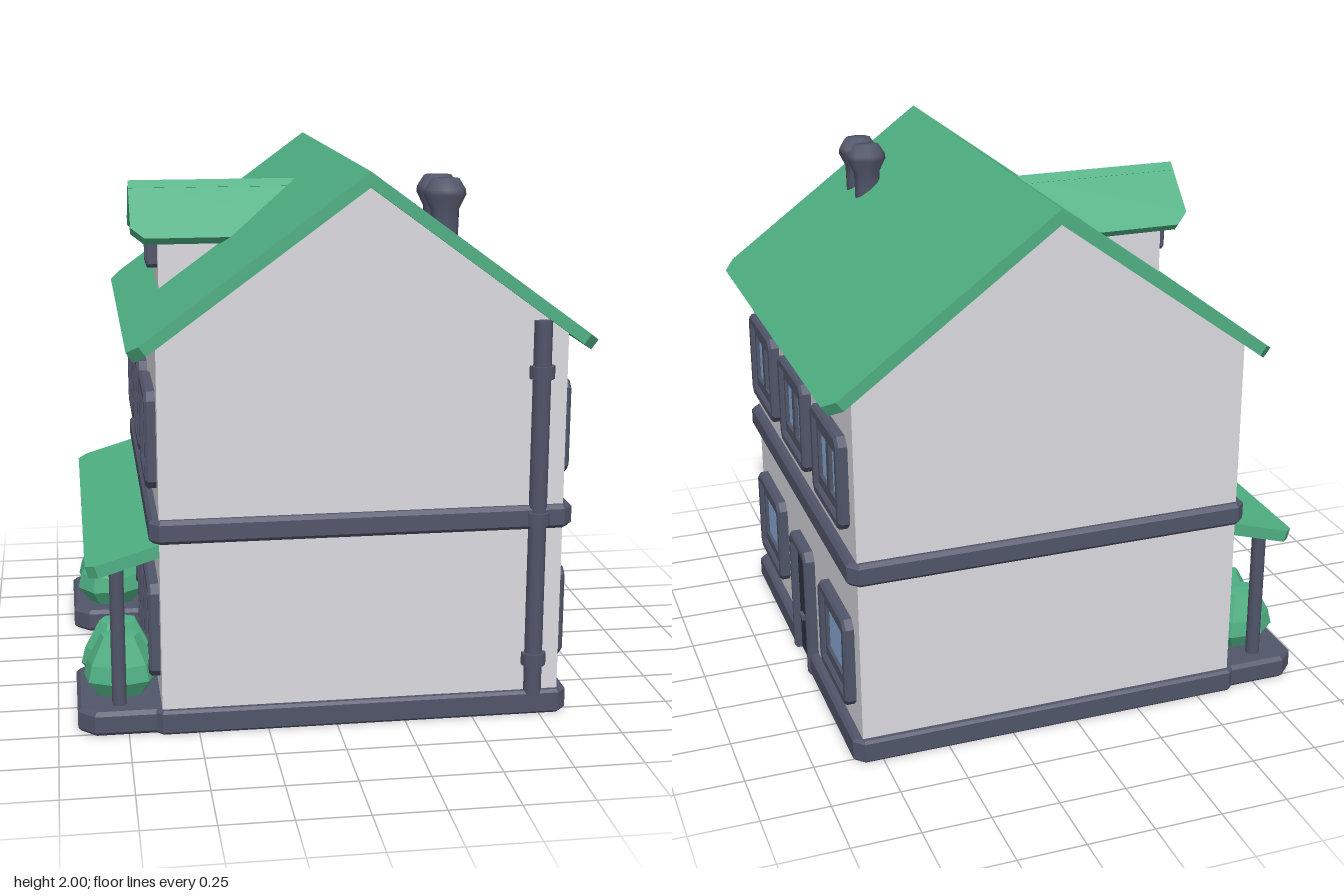
import * as THREE from 'three';

const mat = (name, color) => {
  const m = new THREE.MeshStandardMaterial({ color });
  m.name = name;
  return m;
};

export function createModel() {
  const wallMat = mat('plaster white', 0xd9d9df);
  const roofMat = mat('roof green', 0x4fb083);
  const trimMat = mat('slate trim', 0x505569);
  const doorMat = mat('dark door', 0x30333f);
  const glassMat = mat('window blue', 0x8cabd8);

  const house = new THREE.Group();
  house.name = 'house';
  const CX = 0.095, HALF = 0.725; // centre line and half width of the walls

  const add = (name, geo, material, parent = house) => {
    const m = new THREE.Mesh(geo, material);
    m.name = name;
    parent.add(m);
    return m;
  };
  const poly = pts => new THREE.Shape(pts.map(p => new THREE.Vector2(...p)));
  const octagon = (x0, y0, x1, y1, c) => [
    [x0 + c, y0], [x1 - c, y0], [x1, y0 + c], [x1, y1 - c],
    [x1 - c, y1], [x0 + c, y1], [x0, y1 - c], [x0, y0 + c]];
  const rect = (x0, y0, x1, y1) => [[x0, y0], [x1, y0], [x1, y1], [x0, y1]];
  // Extrusion whose bevel stays inside the given outline and depth
  const extrude = (shape, depth, bevel = 0) => new THREE.ExtrudeGeometry(shape, {
    depth: depth - 2 * bevel, bevelEnabled: bevel > 0, bevelSize: bevel,
    bevelThickness: bevel, bevelOffset: -bevel, bevelSegments: 1,
  }).translate(0, 0, bevel);
  // Floor plan drawn as (x, z), raised from y0 to y1
  const plan = (pts, y0, y1, bevel = 0.014) =>
    extrude(poly(pts), y1 - y0, bevel).rotateX(Math.PI / 2).translate(0, y1, 0);

  // Gabled walls
  const gable = poly([[CX - HALF, 0.02], [CX + HALF, 0.02], [CX + HALF, 1.43], [0.1, 1.955], [CX - HALF, 1.43]]);
  add('walls', extrude(gable, 1.54).translate(0, 0, -0.77), wallMat);

  // Plinth, notched at both doors, and the belt between storeys
  const x0 = -0.665, x1 = 0.855, z = 0.795, c = 0.035, n = 0.1;
  add('plinth', plan([
    [x0 + c, -z], [x1 - c, -z], [x1, -z + c], [x1, -n], [0.815, -n], [0.815, n], [x1, n], [x1, z - c],
    [x1 - c, z], [x0 + c, z], [x0, z - c], [x0, n], [-0.625, n], [-0.625, -n], [x0, -n], [x0, -z + c],
  ], 0, 0.09, 0.01), trimMat);
  add('storeyBand', plan(octagon(x0, -z, x1, z, c), 0.71, 0.797), trimMat);

  // Sloping slab: ridge and eave points, with "across" pointing along the ridge
  const slab = (name, ridge, eave, across, half, thick, cut) => {
    const r = new THREE.Vector3(...ridge), X = new THREE.Vector3(...across);
    const Y = r.clone().sub(new THREE.Vector3(...eave));
    const len = Y.length();
    Y.normalize();
    const Z = X.clone().cross(Y);
    const shape = poly([[-half, 0], [-half, -len + cut], [-half + cut, -len],
      [half - cut, -len], [half, -len + cut], [half, 0]]);
    const geo = extrude(shape, thick).translate(0, 0, -thick);
    geo.applyMatrix4(new THREE.Matrix4().makeBasis(X, Y, Z).setPosition(r));
    return add(name, geo, roofMat);
  };

  // Main roof and porch roof
  slab('mainRoofRight', [0.1, 2, 0], [0.925, 1.395, 0], [0, 0, -1], 0.828, 0.043, 0.05);
  slab('mainRoofLeft', [0.1, 2, 0], [-0.73, 1.395, 0], [0, 0, 1], 0.828, 0.043, 0.05);
  slab('porchRoof', [-0.61, 0.71, 0], [-0.89, 0.625, 0], [0, 0, 1], 0.765, 0.045, 0.035);

  // Dormer
  for (const s of [1, -1]) {
    slab('dormerRoof', [-0.35, 1.895, 0], [-0.35, 1.7, 0.19 * s], [s, 0, 0], 0.33, 0.038, 0.05);
  }
  const dormer = poly([[-0.14, 1.46], [0.14, 1.46], [0.14, 1.715], [0, 1.86], [-0.14, 1.715]]);
  add('dormerWalls', extrude(dormer, 0.42).rotateY(-Math.PI / 2).translate(-0.16, 0, 0), wallMat);

  // Window facing local +z, centred on its own origin
  const makeWindow = (parent, x, y, depth, w, h, divided) => {
    const g = new THREE.Group();
    g.name = 'window';
    g.position.set(x, y, depth);
    parent.add(g);
    const ring = (ow, oh, iw, ih, cut) => {
      const s = poly(octagon(-ow, -oh, ow, oh, cut));
      s.holes.push(new THREE.Path(poly(rect(-iw, -ih, iw, ih)).getPoints().reverse()));
      return s;
    };
    const k = w / 0.19;
    const iw = w - 0.045 * k, ih = h - 0.045 * k, gw = w - 0.062 * k, gh = h - 0.085 * k;
    add('windowFrame', extrude(ring(w, h, iw, ih, 0.03 * k), 0.052, 0.01 * k).translate(0, 0, -0.012), trimMat, g);
    add('windowSash', extrude(ring(iw + 0.01, ih + 0.01, gw, gh, 0.002), 0.025), trimMat, g);
    add('windowGlass', new THREE.BoxGeometry(gw * 2, gh * 2, 0.008).translate(0, 0, 0.008), glassMat, g);
    if (divided) add('windowMullion', new THREE.BoxGeometry(0.038 * k, gh * 2, 0.025).translate(0, 0, 0.0125), trimMat, g);
  };

  // Both long sides carry the same windows and a door
  for (const s of [1, -1]) {
    const side = new THREE.Group();
    side.name = s > 0 ? 'doorSide' : 'porchSide';
    side.position.x = CX;
    side.rotation.y = s * Math.PI / 2;
    house.add(side);
    for (const x of [-0.51, 0, 0.51]) {
      makeWindow(side, x, 1.06, HALF, 0.19, 0.175, true);
      if (x) makeWindow(side, x, 0.355, HALF, 0.19, 0.175, false);
    }
    const frame = poly([[-0.127, 0], [-0.097, 0], [-0.097, 0.47], [-0.085, 0.482], [0.085, 0.482], [0.097, 0.47],
      [0.097, 0], [0.127, 0], [0.127, 0.49], [0.1, 0.522], [-0.1, 0.522], [-0.127, 0.49]]);
    add('doorFrame', extrude(frame, 0.052, 0.008).translate(0, 0, HALF - 0.01), trimMat, side);
    add('door', new THREE.BoxGeometry(0.2, 0.484, 0.03).translate(0, 0.243, HALF), doorMat, side);
    add('doorPlate', new THREE.BoxGeometry(0.022, 0.075, 0.012).translate(0.05, 0.205, HALF + 0.019), trimMat, side);
    add('doorLever', new THREE.BoxGeometry(0.045, 0.018, 0.014).translate(0.037, 0.215, HALF + 0.038), trimMat, side);
    add('leverStem', new THREE.BoxGeometry(0.014, 0.014, 0.03).translate(0.05, 0.215, HALF + 0.028), trimMat, side);
  }
  const dormerFront = new THREE.Group();
  dormerFront.name = 'dormerFront';
  dormerFront.rotation.y = -Math.PI / 2;
  house.add(dormerFront);
  makeWindow(dormerFront, 0, 1.66, 0.58, 0.095, 0.085, true);

  // Porch platforms, posts and shrubs
  const shrub = [[0, 0.08], [0.09, 0.085], [0.14, 0.15], [0.125, 0.21], [0.07, 0.31], [0, 0.315]]
    .map(p => new THREE.Vector2(...p));
  for (const s of [1, -1]) {
    const pts = octagon(-0.93, Math.min(0.275 * s, 0.775 * s), -0.55, Math.max(0.275 * s, 0.775 * s), 0.06);
    add('porchPlatform', plan(pts, 0, 0.09), trimMat);
    add('porchPost', new THREE.CylinderGeometry(0.027, 0.027, 0.54, 10).translate(-0.78, 0.35, 0.69 * s), trimMat);
    [0.42, 0.57].forEach((zz, i) => {
      const geo = new THREE.LatheGeometry(shrub, 7).rotateY(i * 0.5 + 0.3).scale(1, 1, 0.8)
        .translate(-0.77, 0, zz * s).toNonIndexed();
      geo.computeVertexNormals();
      add('shrub', geo, roofMat);
    });
  }

  // Drainpipe with collars
  add('drainpipe', new THREE.CylinderGeometry(0.033, 0.033, 1.39, 10).translate(0.725, 0.775, 0.775), trimMat);
  for (const y of [0.215, 0.75, 1.285]) {
    add('pipeCollar', new THREE.CylinderGeometry(0.046, 0.046, 0.046, 10).translate(0.725, y, 0.775), trimMat);
  }

  // Pair of chimney pots
  const pot = [[0.048, 1.62], [0.05, 1.78], [0.052, 1.84], [0.077, 1.89], [0.074, 1.91], [0.05, 1.948], [0, 1.95]]
    .map(p => new THREE.Vector2(...p));
  for (const zz of [0.455, 0.582]) {
    add('chimneyPot', new THREE.LatheGeometry(pot, 8).scale(1, 1, 0.72).translate(0.408, 0, zz), trimMat);
  }
  return house;
}
